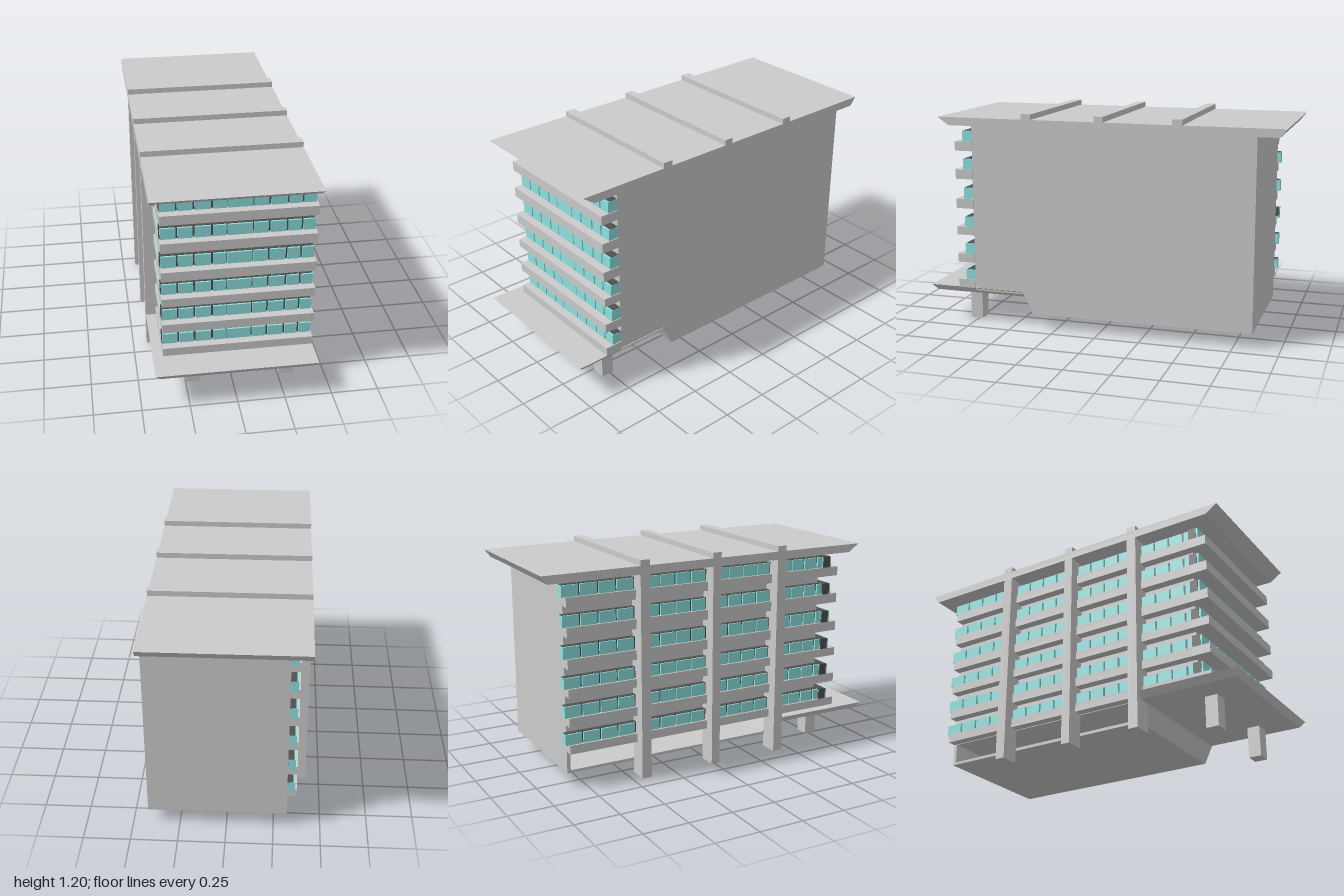
import * as THREE from 'three';

const grey = new THREE.MeshStandardMaterial({ color: 0xcccccc });
const glass = new THREE.MeshStandardMaterial({ color: 0x8fe3e1 });
const dark = new THREE.MeshStandardMaterial({ color: 0x505050 });

// Box given by its minimum and maximum corners
function box(parent, name, x0, x1, y0, y1, z0, z1, material = grey) {
  const mesh = new THREE.Mesh(new THREE.BoxGeometry(x1 - x0, y1 - y0, z1 - z0), material);
  mesh.position.set((x0 + x1) / 2, (y0 + y1) / 2, (z0 + z1) / 2);
  mesh.name = name;
  parent.add(mesh);
  return mesh;
}

// Profile of [z, y] points extruded along x
function slab(parent, name, points, x0, x1) {
  const shape = new THREE.Shape(points.map(([z, y]) => new THREE.Vector2(z, y)));
  const geometry = new THREE.ExtrudeGeometry(shape, { depth: x1 - x0, bevelEnabled: false });
  geometry.rotateY(-Math.PI / 2).translate(x1, 0, 0);
  const mesh = new THREE.Mesh(geometry, grey);
  mesh.name = name;
  parent.add(mesh);
}

export function createModel() {
  const building = new THREE.Group();
  building.name = 'building';

  const wallX = -0.32, sideX = -0.37, right = 0.42, edge = 0.425;
  const back = -0.85, front = 0.73;

  // Main block, with an open gallery along the bottom of the -x side
  slab(building, 'mainBlock', [[back, 0.08], [0.385, 0.08], [0.44, 0.19], [front, 0.19],
    [front, 1.125], [back, 1.125]], -0.1, right);
  box(building, 'upperBlock', wallX, -0.1, 0.2, 1.125, back, front);
  slab(building, 'galleryFloor', [[back, 0.08], [0.385, 0.08], [0.44, 0.19], [0.42, 0.2],
    [0.375, 0.095], [back, 0.095]], wallX, -0.1);
  box(building, 'galleryEndWall', wallX, -0.1, 0.095, 0.2, back, back + 0.02);

  // Roof with raked ends
  slab(building, 'roof', [[-0.965, 1.125], [0.865, 1.125], [0.93, 1.17], [-1, 1.17]], -edge, edge);

  // Piers and the roof beams they carry
  const piers = [[-0.46, -0.405], [-0.03, 0.02], [0.38, 0.435]];
  for (const [z0, z1] of piers) {
    box(building, 'pier', -edge, wallX, 0.01, 1.17, z0, z1);
    box(building, 'roofBeam', -edge, edge, 1.17, 1.2, z0, z1);
  }

  // Entrance canopy, tapering towards its underside
  const canopy = box(building, 'canopy', -edge, edge, 0.17, 0.205, 0.44, 1);
  const p = canopy.geometry.attributes.position;
  for (let i = 0; i < p.count; i++) {
    if (p.getY(i) > 0) continue;
    p.setX(i, p.getX(i) - Math.sign(p.getX(i)) * 0.027);
    if (p.getZ(i) > 0) p.setZ(i, p.getZ(i) - 0.027);
  }
  canopy.geometry.computeVertexNormals();
  for (const x of [-0.25, 0.255]) box(building, 'canopyColumn', x, x + 0.08, 0, 0.18, 0.73, 0.8);

  // Storeys: [parapet bottom, window sill, window top]
  const storeys = [[0.203, 0.251, 0.312], [0.35, 0.4, 0.464], [0.509, 0.556, 0.617],
    [0.661, 0.715, 0.782], [0.827, 0.881, 0.944], [0.985, 1.037, 1.1]];
  const frontPanes = [[-0.367, -0.288], [-0.278, -0.202], [-0.192, -0.11], [-0.1, -0.032],
    [-0.027, 0.1], [0.106, 0.18], [0.19, 0.272], [0.282, 0.348], [0.358, 0.42]];
  const bays = [[-0.87, -0.46], [-0.405, -0.03], [0.02, 0.38], [0.435, 0.785]];

  for (const [y0, y1, y2] of storeys) {
    const storey = new THREE.Group();
    storey.name = 'storey';
    building.add(storey);

    // Parapets wrapping the front and the -x side
    box(storey, 'frontParapet', sideX, edge, y0, y1, front, 0.83);
    box(storey, 'sideParapet', sideX, wallX, y0, y1, back, front);

    // Front windows
    box(storey, 'frontWindowFrame', sideX, right - 0.002, y1, y2, front, 0.775, dark);
    for (const [x0, x1] of frontPanes) {
      box(storey, 'frontPane', x0, x1, y1, y2 - 0.002, front, 0.785, glass);
    }

    // Side windows, four panes to a bay
    for (const [z0, z1] of bays) {
      box(storey, 'sideWindowFrame', -0.35, wallX, y1, y2, z0 + 0.002, Math.min(z1, front), dark);
      const step = (z1 - z0) / 4;
      for (let i = 0; i < 4; i++) {
        const a = z0 + i * step, b = a + step - 0.01;
        box(storey, 'sidePane', -0.36, wallX, y1, y2 - 0.002, a, b, glass);
      }
    }
  }
  return building;
}
